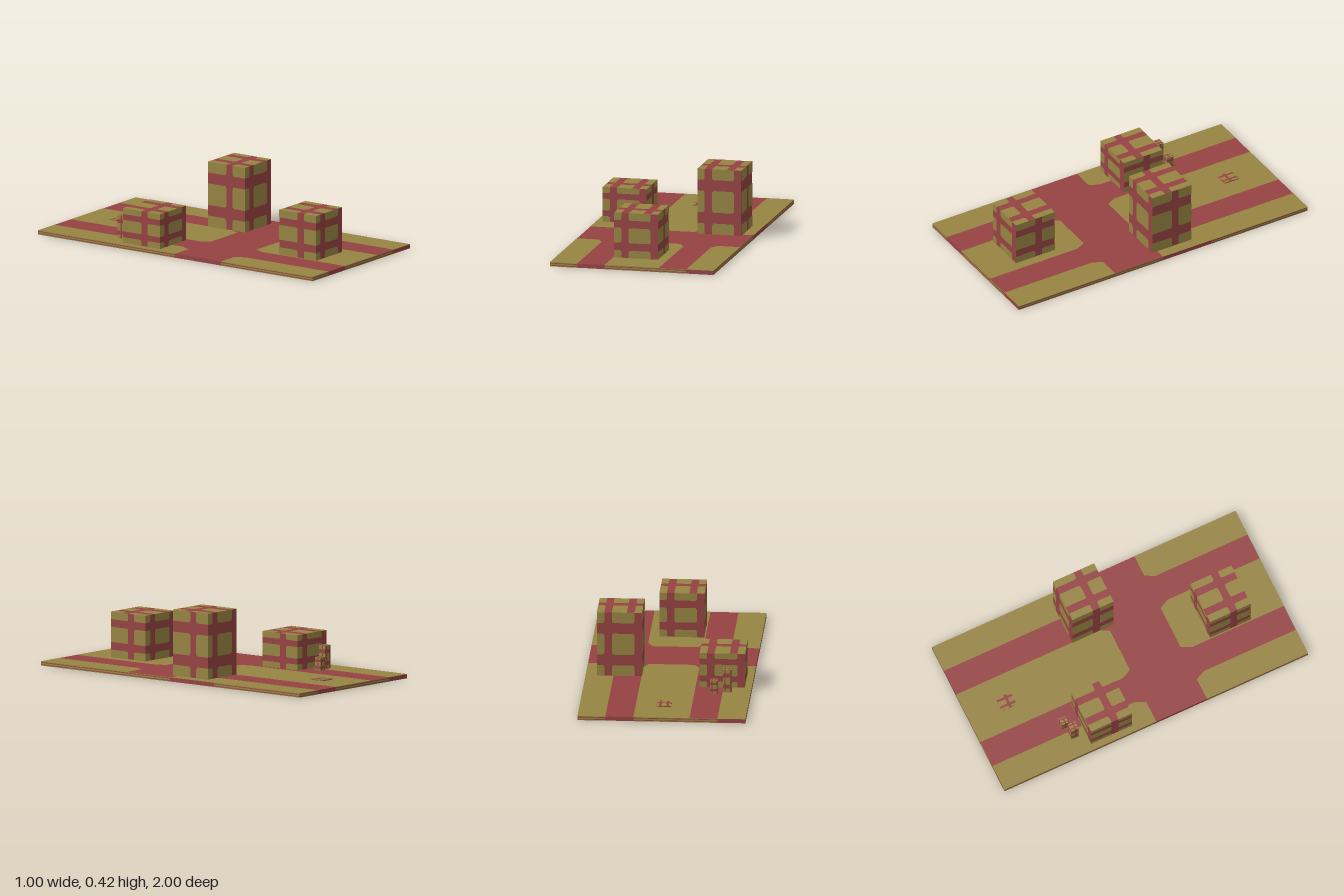
import * as THREE from 'three';
import { mergeGeometries } from 'three/addons/utils/BufferGeometryUtils.js';

const olive = new THREE.MeshStandardMaterial({ color: 0x968442 });
olive.name = 'olive';
const red = new THREE.MeshStandardMaterial({ color: 0x964242 });
red.name = 'red';

const S = 1 / 6; // the pattern is laid out in sixths of a face
const CUT = 0.03; // clipped corner where two bands cross
const SKIN = 0.0006; // panels stand this far off the core

// Olive cells left between the red bands of each kind of face
const rows = [[0, S], [2 * S, 4 * S], [5 * S, 1]];
const wide = { u: [[0, S], [2 * S, 5 * S]], v: rows };
const side = { u: [[0, 3 * S], [4 * S, 1]], v: rows };
const top = { u: rows, v: [[0, 2 * S], [3 * S, 1]] };
const bottom = { u: rows, v: [[0, 3 * S], [4 * S, 1]] };

const vec = (x, y, z) => new THREE.Vector3(x, y, z);
const X = vec(1, 0, 0), Y = vec(0, 1, 0), Z = vec(0, 0, 1);
const neg = (a) => a.clone().negate();

// Face directions: across, up the face, and the pattern
const FACES = [
  [X, Y, wide],
  [neg(Z), Y, side],
  [neg(X), Y, wide],
  [Z, Y, side],
  [X, neg(Z), top],
  [X, Z, bottom],
];

// One cell; corners away from the face border are clipped
function cellShape([u0, u1], [v0, v1]) {
  const inner = (t) => t > 0 && t < 1;
  const corners = [[u0, v0, 1, 1], [u1, v0, -1, 1], [u1, v1, -1, -1], [u0, v1, 1, -1]];
  const points = [];
  corners.forEach(([u, v, du, dv], i) => {
    if (!inner(u) || !inner(v)) {
      points.push(new THREE.Vector2(u, v));
      return;
    }
    const alongU = new THREE.Vector2(u + du * CUT, v);
    const alongV = new THREE.Vector2(u, v + dv * CUT);
    points.push(...(i % 2 ? [alongU, alongV] : [alongV, alongU]));
  });
  return new THREE.Shape(points);
}

// A red core with olive panels on its faces
function patternedBox(name, x0, x1, y0, y1, z0, z1, faceCount = 5) {
  const size = vec(x1 - x0, y1 - y0, z1 - z0);
  const group = new THREE.Group();
  group.name = name;
  group.position.set((x0 + x1) / 2, (y0 + y1) / 2, (z0 + z1) / 2);

  const core = new THREE.Mesh(
    new THREE.BoxGeometry(size.x - 2 * SKIN, size.y - 2 * SKIN, size.z - 2 * SKIN), red);
  core.name = name + 'Bands';

  const panels = [];
  for (const [across, up, pattern] of FACES.slice(0, faceCount)) {
    const out = across.clone().cross(up);
    const a = across.clone().multiply(size);
    const b = up.clone().multiply(size);
    const origin = out.clone().multiply(size).sub(a).sub(b).multiplyScalar(0.5);
    const place = new THREE.Matrix4().makeBasis(a, b, out).setPosition(origin);
    for (const u of pattern.u) for (const v of pattern.v) {
      panels.push(new THREE.ShapeGeometry(cellShape(u, v)).applyMatrix4(place));
    }
  }
  const panelMesh = new THREE.Mesh(mergeGeometries(panels), olive);
  panelMesh.name = name + 'Panels';
  group.add(core, panelMesh);
  return group;
}

export function createModel() {
  const model = new THREE.Group();
  model.name = 'cityBlock';
  const G = 0.026; // ground level
  model.add(
    patternedBox('ground', -0.5, 0.5, 0, G, -1, 1, 6),
    // Three large blocks
    patternedBox('lowBuilding', -0.46, -0.19, G, 0.238, -0.41, -0.14),
    patternedBox('middleBuilding', -0.16, 0.108, G, 0.3, 0.516, 0.785),
    patternedBox('tallBuilding', 0.164, 0.433, G, 0.422, -0.235, 0.036),
    // Small pieces behind the low building
    patternedBox('tallPost', -0.385, -0.335, G, 0.167, -0.503, -0.455),
    patternedBox('shortPost', -0.305, -0.26, G, 0.106, -0.528, -0.485),
    // Flat tile at the back
    patternedBox('groundTile', -0.046, 0.042, G, 0.033, -0.8, -0.7),
  );
  return model;
}
